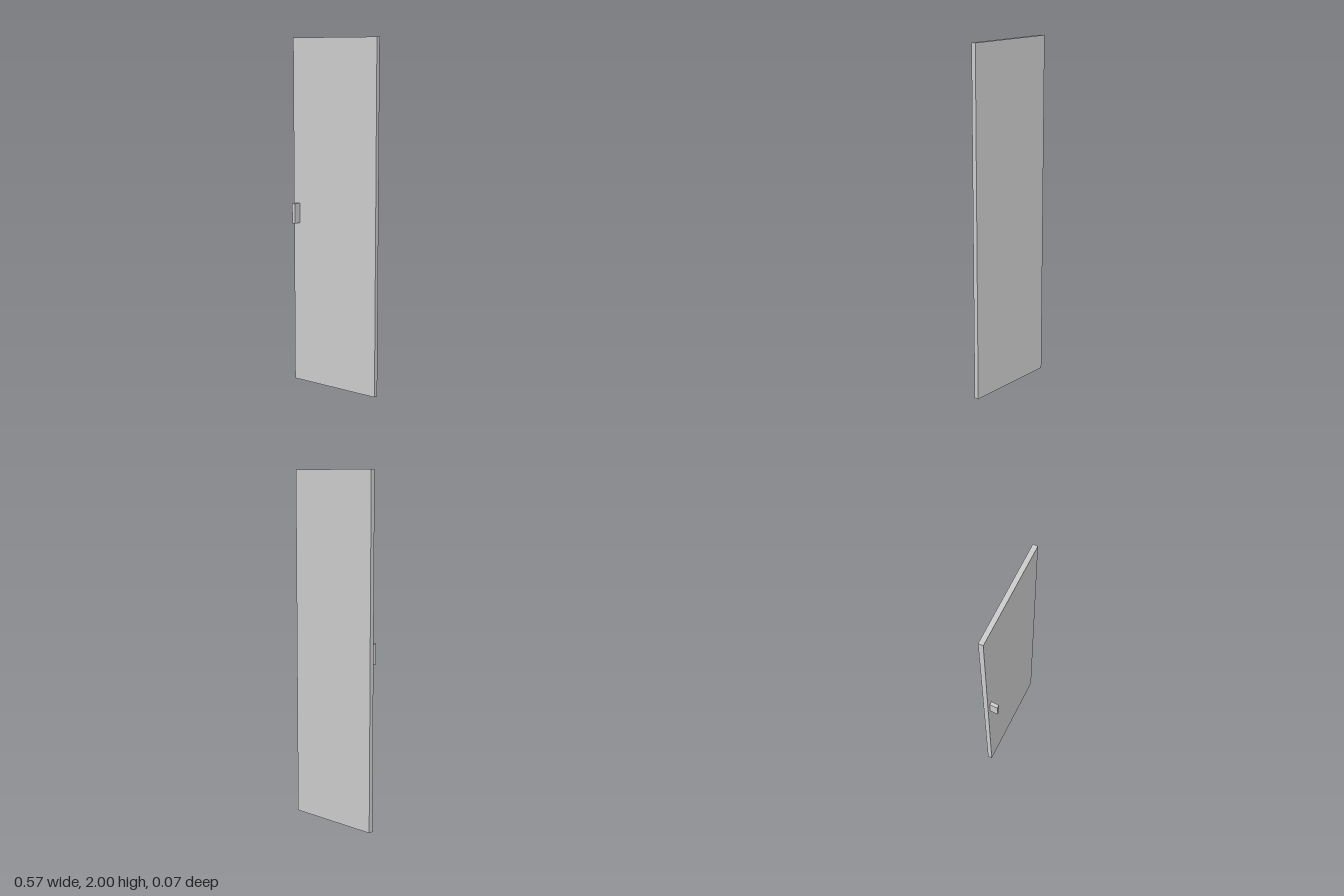
import * as THREE from 'three';

const material = new THREE.MeshStandardMaterial({ color: 0xcccccc });

// Box given by its size and centre
function box(name, size, centre) {
  const mesh = new THREE.Mesh(new THREE.BoxGeometry(...size), material);
  mesh.name = name;
  mesh.position.set(...centre);
  return mesh;
}

export function createModel() {
  const door = new THREE.Group();
  door.name = 'cabinetDoor';

  const thickness = 0.027, handleDepth = 0.046;
  const back = -(thickness + handleDepth) / 2;
  const face = back + thickness;

  // Flat door panel
  door.add(box('panel', [0.573, 2, thickness], [0, 1, back + thickness / 2]));

  // Block handle standing on the front face
  door.add(box('handle', [0.02, 0.115, handleDepth], [-0.254, 1.002, face + handleDepth / 2]));

  return door;
}
